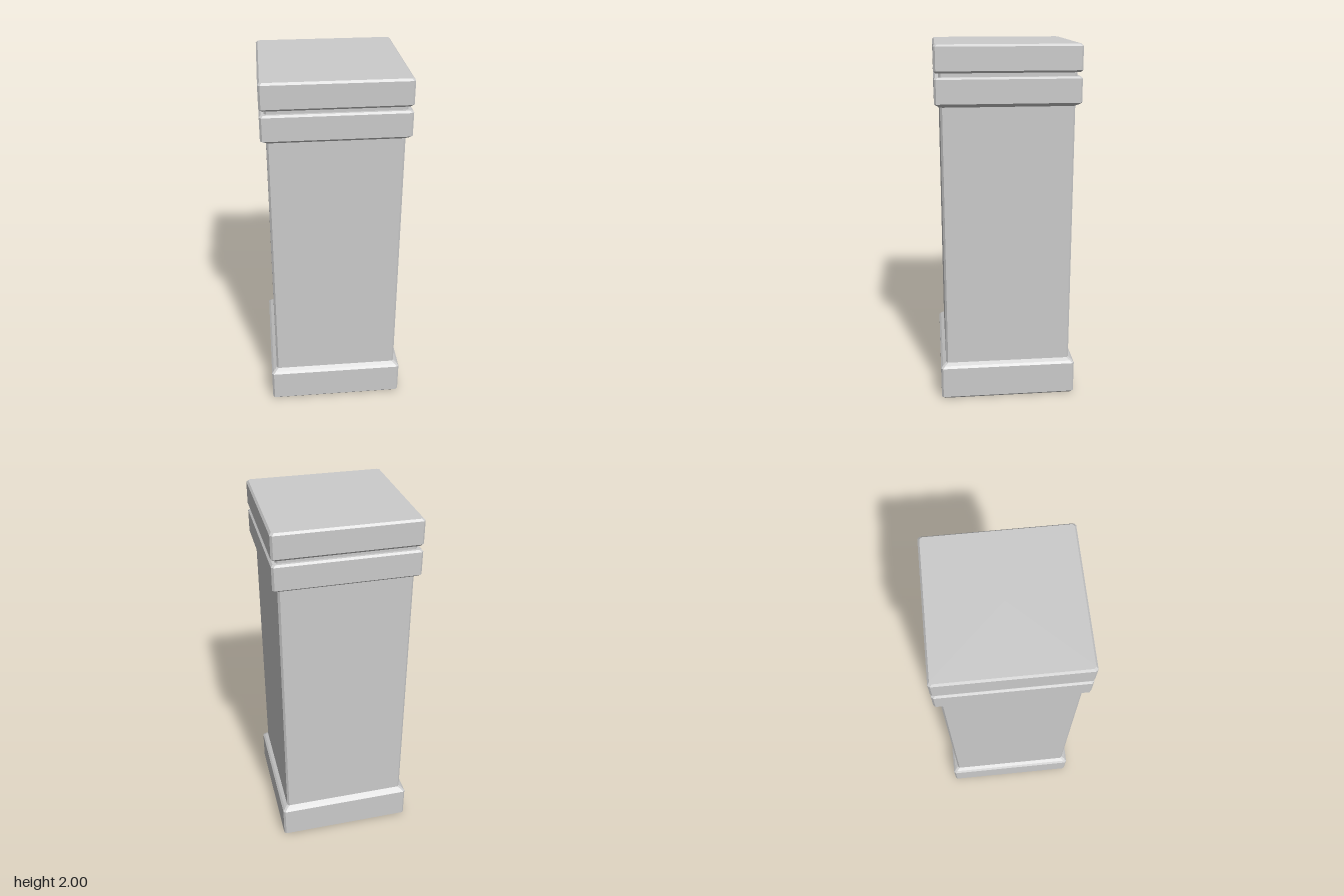
import * as THREE from 'three';

const material = new THREE.MeshStandardMaterial({ color: 0xcccccc, flatShading: true });
const BEVEL = 0.011;

// Square ring with bevelled corners, running from +x towards +z
function ring(half, y) {
  const k = half - BEVEL;
  return [[half, -k], [half, k], [k, half], [-k, half], [-half, k], [-half, -k], [-k, -half], [k, -half]]
    .map(([x, z]) => [x, y, z]);
}

// Closed block lofted through [half width, height] levels, listed from the bottom up
function block(name, levels) {
  const rings = levels.map(([half, y]) => ring(half, y));
  const pos = [];
  const tri = (...points) => points.forEach((p) => pos.push(...p));
  const bottom = rings[0];
  const top = rings[rings.length - 1];
  for (let i = 0; i < 8; i++) {
    const n = (i + 1) % 8;
    for (let j = 0; j < rings.length - 1; j++) {
      const lo = rings[j];
      const hi = rings[j + 1];
      tri(lo[i], hi[i], lo[n]);
      tri(lo[n], hi[i], hi[n]);
    }
    tri([0, levels[0][1], 0], bottom[i], bottom[n]);
    tri([0, levels[levels.length - 1][1], 0], top[n], top[i]);
  }
  const geometry = new THREE.BufferGeometry();
  geometry.setAttribute('position', new THREE.Float32BufferAttribute(pos, 3));
  geometry.computeVertexNormals();
  const mesh = new THREE.Mesh(geometry, material);
  mesh.name = name;
  return mesh;
}

export function createModel() {
  const group = new THREE.Group();
  group.name = 'squarePillar';
  group.add(
    // Plinth with a sloped shoulder
    block('base', [[0.375, 0], [0.385, 0.011], [0.385, 0.19], [0.374, 0.202], [0.355, 0.215]]),
    block('shaft', [[0.355, 0.215], [0.355, 1.68]]),
    // Collar, recessed neck and cap slab
    block('collar', [[0.355, 1.68], [0.372, 1.69], [0.385, 1.70], [0.385, 1.825], [0.375, 1.835]]),
    block('neck', [[0.36, 1.835], [0.36, 1.856]]),
    block('cap', [[0.375, 1.856], [0.385, 1.867], [0.385, 1.989], [0.375, 2]]),
  );
  return group;
}
